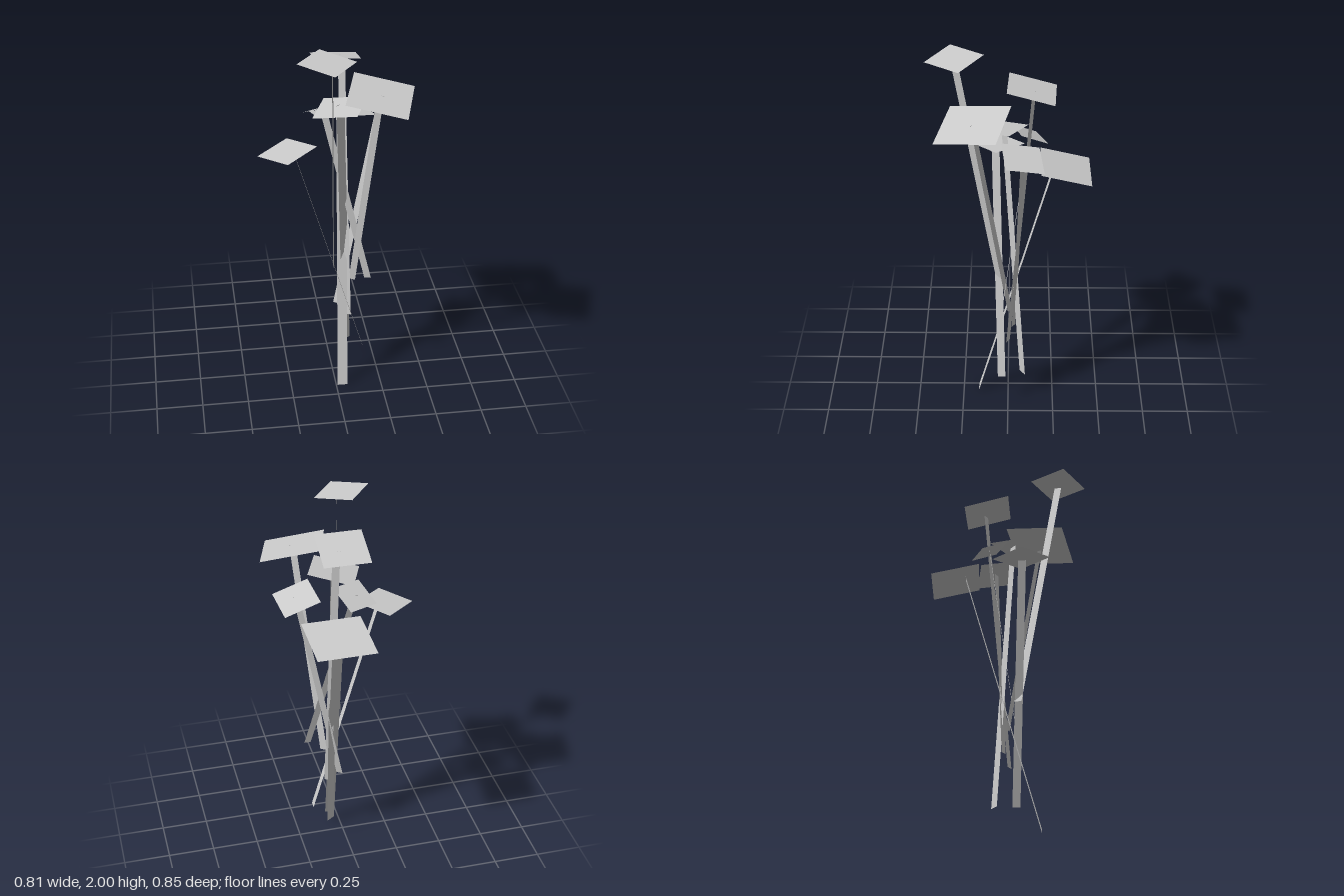
import * as THREE from 'three';

const grey = new THREE.MeshStandardMaterial({ color: 0xcccccc });
grey.name = 'paleGrey';
grey.side = THREE.DoubleSide;

// Flat parallelogram card from its centre and two half diagonals
function card(name, centre, u, v) {
  const corner = (d, s) => centre.clone().addScaledVector(d, s);
  const geometry = new THREE.BufferGeometry().setFromPoints([corner(u, 1), corner(v, 1), corner(u, -1), corner(v, -1)]);
  geometry.setIndex([0, 1, 2, 0, 2, 3]);
  geometry.computeVertexNormals();
  const mesh = new THREE.Mesh(geometry, grey);
  mesh.name = name;
  return mesh;
}

// One plant: a tilted cap on a flat stem
// u, v: half diagonals of the cap in x, z; slope: its rise along x, z
// foot: stem bottom; width: stem width in x, z; shift: stem tip off the cap centre in x, z
function plant(cap, u, v, slope, foot, width, shift = [0, 0]) {
  const onSlope = ([x, z]) => new THREE.Vector3(x, slope[0] * x + slope[1] * z, z);
  const capCentre = new THREE.Vector3(...cap);
  const bottom = new THREE.Vector3(...foot);
  const tip = capCentre.clone().add(onSlope(shift));

  // Half the length plus or minus half the width gives the stem's half diagonals
  const middle = bottom.clone().add(tip).multiplyScalar(0.5);
  const along = tip.clone().sub(bottom).multiplyScalar(0.5);
  const across = new THREE.Vector3(width[0] / 2, 0, width[1] / 2);

  const group = new THREE.Group();
  group.name = 'plant';
  group.add(
    card('cap', capCentre, onSlope(u), onSlope(v)),
    card('stem', middle, across.clone().sub(along), across.clone().add(along)),
  );
  return group;
}

export function createModel() {
  const model = new THREE.Group();
  model.name = 'cardPlantCluster';
  model.add(
    // Back
    plant([0.092, 1.457, -0.297], [-0.143, 0.13], [0.167, 0.127], [0, 0.28], [0.035, 0, 0.165], [0.055, 0], [-0.01, 0.055]),
    plant([0.03, 1.863, -0.121], [-0.125, 0.115], [0.116, 0.127], [-0.04, 0.26], [0.085, 0.36, 0], [0.035, 0.02], [0.035, -0.01]),
    plant([-0.036, 1.58, -0.108], [-0.045, 0.1], [0.106, 0.036], [0.216, 0.448], [0.19, 0.61, 0.035], [0.036, 0]),
    // Sides
    plant([-0.242, 1.423, 0.064], [-0.155, 0], [-0.013, 0.153], [0.117, 0], [0.165, 0.17, 0.035], [0, 0.042], [0.03, 0.005]),
    plant([0.26, 1.59, -0.075], [-0.083, 0.109], [0.107, 0.084], [-0.236, 0.21], [0.025, 0.42, -0.03], [0.03, 0.02]),
    // Middle
    plant([0.034, 1.65, 0.055], [-0.152, 0.06], [0.065, 0.16], [0.184, 0.025], [0.09, 0.145, -0.08], [0.045, -0.03], [0.006, -0.035]),
    // Front
    plant([-0.062, 1.987, 0.273], [-0.151, 0.026], [0.019, 0.151], [-0.095, -0.071], [0, 0.7, 0.045], [0.01, -0.037], [0.027, 0]),
    plant([0.221, 1.756, 0.175], [-0.195, 0.118], [0.106, 0.192], [-0.163, -0.184], [0.11, 0.58, -0.01], [0.032, 0.02]),
  );
  return model;
}
